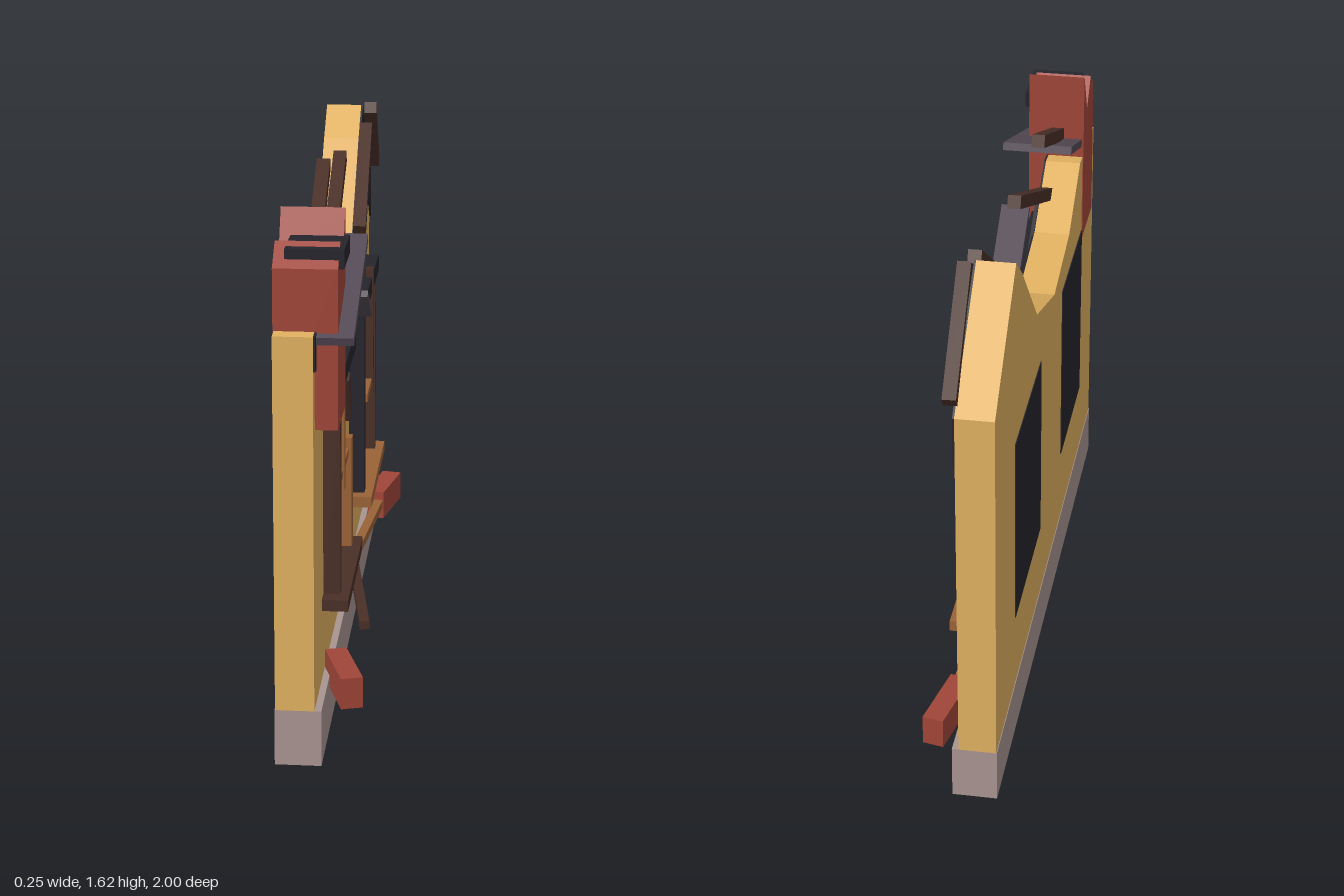
import * as THREE from 'three';

const mat = (color) => new THREE.MeshStandardMaterial({ color, flatShading: true });
const M = {
  plaster: mat(0xe0b060), stone: mat(0xa89490), brick: mat(0xa04538), soot: mat(0x25242c),
  brown: mat(0x4a3028), timber: mat(0x9a6236), slate: mat(0x544a55),
};

export function createModel() {
  const root = new THREE.Group();

  const add = (name, geometry, material) => {
    const mesh = new THREE.Mesh(geometry, material);
    mesh.name = name;
    root.add(mesh);
    return mesh;
  };
  // Box given by its limits on each axis
  const box = (name, m, [x0, x1], [y0, y1], [z0, z1]) => {
    const mesh = add(name, new THREE.BoxGeometry(x1 - x0, y1 - y0, Math.abs(z1 - z0)), m);
    mesh.position.set((x0 + x1) / 2, (y0 + y1) / 2, (z0 + z1) / 2);
    return mesh;
  };
  // Straight bar running between two points, w wide and t thick
  const bar = (name, m, from, to, w, t) => {
    const a = new THREE.Vector3(...from), b = new THREE.Vector3(...to);
    const mesh = add(name, new THREE.BoxGeometry(w, t, a.distanceTo(b)), m);
    mesh.position.copy(a).add(b).multiplyScalar(0.5);
    mesh.lookAt(b);
    return mesh;
  };
  // Slab with an outline of [z, y] points, running from x0 to x1
  const path = (pts) => pts.map(([z, y]) => new THREE.Vector2(-z, y));
  const slab = (name, m, pts, x0, x1, holes = []) => {
    const shape = new THREE.Shape(path(pts));
    holes.forEach((h) => shape.holes.push(new THREE.Path(path(h))));
    const g = new THREE.ExtrudeGeometry(shape, { depth: x1 - x0, bevelEnabled: false });
    return add(name, g.rotateY(Math.PI / 2).translate(x0, 0, 0), m);
  };

  // Broken wall with two openings on a stone plinth
  const top = [[1, 1.28], [0.67, 1.3], [0.43, 1.16], [0.11, 1.11], [-0.25, 1.235],
    [-0.53, 1.52], [-0.64, 1.61], [-1, 1.31]];
  const windows = [[0.72, 0.28], [-0.17, -0.66]];
  const opening = ([a, b]) => [[a, 0.42], [b, 0.42], [b, 1.03], [a, 1.03]];
  slab('wall', M.plaster, [[1, 0.17], ...top, [-1, 0.17]], -0.113, 0, windows.map(opening));
  box('plinth', M.stone, [-0.115, 0.02], [0, 0.17], [-1, 1]);

  // Soot along the broken edge and over each window
  slab('sootBand', M.soot, [...top, [-1, 1.15], [-0.64, 1.51], [-0.52, 1.37], [-0.25, 1.2],
    [-0.08, 1.03], [0.11, 0.95], [0.27, 1.03], [0.72, 1.14], [1, 1.18]], 0, 0.006);
  slab('sootOverWindow', M.soot, [[0.72, 1.07], [0.54, 1.235], [0.27, 1.07]], 0, 0.012);
  slab('sootOverWindow', M.soot, [[-0.15, 1.07], [-0.38, 1.28], [-0.68, 1.07]], 0, 0.012);

  // Dark window backs, charred lintels, hoods and sills
  windows.forEach(([a, b], i) => {
    const reach = i ? [-0.125, -0.71] : [0.73, 0.235];
    box('windowBack', M.soot, [-0.116, -0.1], [0.42, 1.03], [a, b]);
    box('lintel', M.soot, [-0.05, 0.03], [0.965, 1.03], [a, b]);
    box('hood', M.soot, [0, 0.055], [1.03, 1.085], reach);
    box('sill', i ? M.timber : M.brown, [0, 0.077], [0.385, 0.42], i ? reach : [0.77, 0.235]);
  });

  // Window posts, one of them snapped
  box('post', M.brown, [0, 0.05], [0.42, 1.03], [0.72, 0.685]);
  box('brokenPost', M.timber, [0, 0.05], [0.42, 0.77], [0.325, 0.282]);
  bar('brokenPostTop', M.brown, [0.03, 0.98, 0.375], [0.03, 0.83, 0.3], 0.035, 0.035);
  box('post', M.soot, [0, 0.05], [0.42, 1.03], [-0.17, -0.21]);
  box('post', M.brown, [0, 0.05], [0.42, 1.03], [-0.622, -0.66]);

  // Glazing bars
  box('glazingBar', M.timber, [0.02, 0.045], [0.67, 1.0], [0.518, 0.49]);
  box('glazingBar', M.timber, [0.015, 0.04], [0.713, 0.738], [0.57, 0.32]);
  box('glazingBar', M.brown, [0.035, 0.06], [0.69, 1.115], [-0.403, -0.43]);
  box('glazingBar', M.timber, [0.03, 0.055], [0.713, 0.738], [-0.225, -0.497]);

  // Chimney with a broken top and a fallen cap
  slab('chimney', M.brick, [[0.955, 1], [0.955, 1.46], [0.88, 1.52], [0.8, 1.44],
    [0.725, 1.58], [0.725, 1]], -0.116, 0.065);
  box('chimneyCap', M.soot, [-0.085, 0.08], [1.455, 1.508], [0.745, 0.93]);

  // Charred rafters
  [
    [[-0.03, 1.36, 0.76], [-0.045, 1.59, 0.2]],
    [[-0.015, 1.23, 0.57], [-0.025, 1.545, -0.135]],
    [[0.035, 1.305, -0.14], [0.025, 1.56, -0.525]],
    [[0.03, 1.6, -0.65], [0.015, 1.35, -0.985]],
  ].forEach(([a, b]) => bar('rafter', M.brown, a, b, 0.04, 0.04));

  // Loose roof slabs
  bar('roofSlab', M.slate, [0, 1.26, 0.97], [0, 1.435, 0.475], 0.22, 0.025);
  bar('roofSlab', M.slate, [0.06, 1.25, 0.42], [0.055, 1.125, 0.185], 0.09, 0.02);

  // Rubble at the foot of the wall
  bar('fallenTimber', M.brown, [0.095, 0.185, 0.385], [0.015, 0.185, -0.16], 0.03, 0.028);
  bar('fallenTimber', M.timber, [0.02, 0.185, -0.31], [0.06, 0.185, -0.76], 0.03, 0.028);
  [[0.78, 0.3, 0.18], [-0.833, -0.2, 0.18]].forEach(([z, turn, y]) => {
    const brick = add('fallenBricks', new THREE.BoxGeometry(0.065, 0.095, 0.225), M.brick);
    brick.position.set(0.065, y, z);
    brick.rotation.y = turn;
  });

  return root;
}
